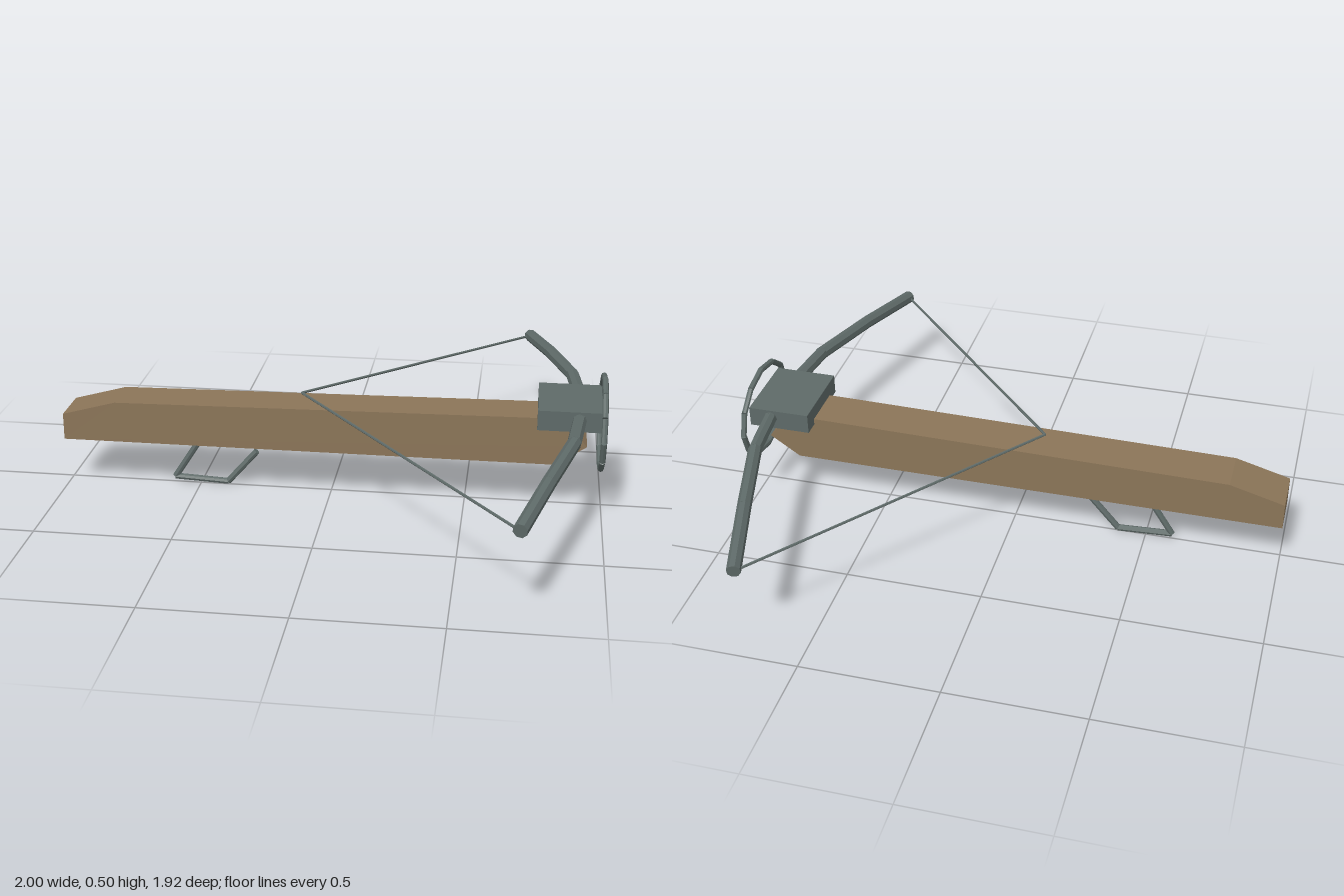
import * as THREE from 'three';

export function createModel() {
  const group = new THREE.Group();
  const wood = new THREE.MeshStandardMaterial({ color: 0x8b7558, flatShading: true });
  wood.name = 'wood';
  const metal = new THREE.MeshStandardMaterial({ color: 0x5e6a68, flatShading: true });
  metal.name = 'metal';

  const add = (name, geometry, material) => {
    const mesh = new THREE.Mesh(geometry, material);
    mesh.name = name;
    group.add(mesh);
    return mesh;
  };

  // Straight rods joining a list of points
  const rods = (name, points, radius, sides) => {
    for (let i = 0; i < points.length - 1; i++) {
      const a = new THREE.Vector3(...points[i]);
      const b = new THREE.Vector3(...points[i + 1]);
      const dir = b.clone().sub(a);
      const rod = add(name, new THREE.CylinderGeometry(radius, radius, dir.length(), sides), metal);
      rod.position.copy(a).add(b).multiplyScalar(0.5);
      rod.quaternion.setFromUnitVectors(new THREE.Vector3(0, 1, 0), dir.normalize());
    }
  };

  // Wooden stock: side profile extruded across z
  const profile = [[-1, 0.19], [0.825, 0.19], [0.935, 0.265], [0.845, 0.368], [0.7, 0.367], [-0.8, 0.345], [-1, 0.29]];
  const stock = new THREE.ExtrudeGeometry(
    new THREE.Shape(profile.map(([x, y]) => new THREE.Vector2(x, y))),
    { depth: 0.17, bevelEnabled: false });
  stock.translate(0, 0, -0.085);
  add('stock', stock, wood);

  // Block that clamps the bow to the stock
  const block = add('bowMount', new THREE.BoxGeometry(0.228, 0.074, 0.29), metal);
  block.position.set(0.868, 0.382, 0);

  // Bow limbs and string, mirrored in z
  for (const s of [-1, 1]) {
    rods('bowLimb', [[0.905, 0.388, 0], [0.9, 0.388, s * 0.15], [0.88, 0.384, s * 0.345],
      [0.797, 0.366, s * 0.65], [0.713, 0.333, s * 0.952]], 0.025, 8);
    rods('bowString', [[0.71, 0.333, s * 0.945], [-0.11, 0.388, 0]], 0.005, 6);
  }

  // Foot stirrup: a twelve-sided oval ring facing +x
  const oval = [];
  for (let i = 0; i <= 12; i++) {
    const a = (i / 12) * Math.PI * 2;
    oval.push([0.987, 0.332 + 0.163 * Math.cos(a), 0.206 * Math.sin(a)]);
  }
  rods('stirrup', oval, 0.011, 8);

  // Bent trigger lever under the stock
  rods('trigger', [[-0.492, 0.192], [-0.598, 0.026], [-0.395, 0.016], [-0.283, 0.145]]
    .map(([x, y]) => [x, y, 0]), 0.012, 8);

  return group;
}
